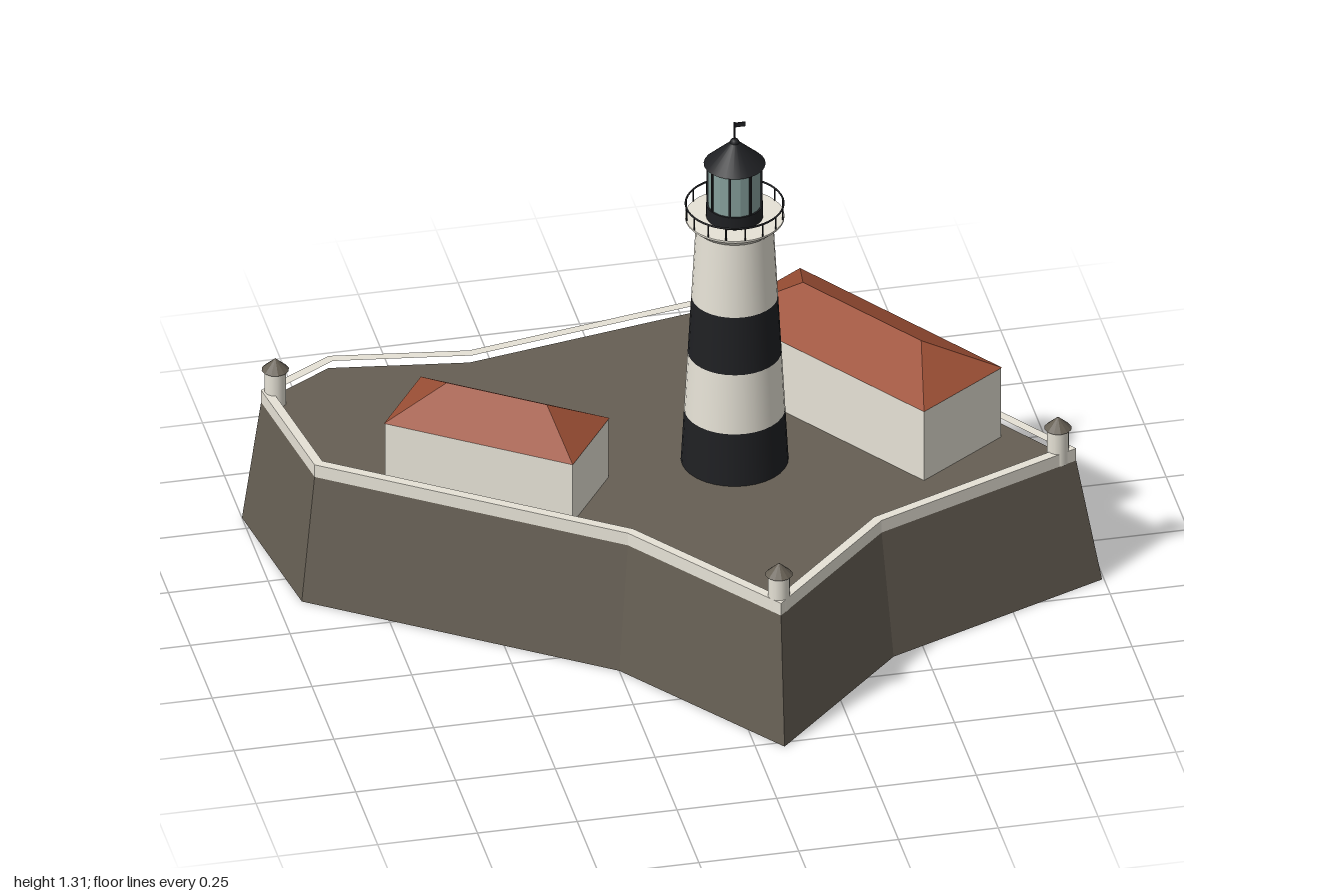
import * as THREE from 'three';

const mat = (color, opts = {}) => new THREE.MeshStandardMaterial({ color, ...opts });
const STONE = mat(0x665f54, { flatShading: true, side: THREE.DoubleSide });
const WHITE = mat(0xe6e2d6);
const PLASTER = mat(0xe6e2d6, { flatShading: true });
const BLACK = mat(0x1f2023);
const ROOF = mat(0x9c4f35, { flatShading: true });
const GLASS = mat(0x86a09c, { flatShading: true });

const DECK = 0.34;

// Footprint of the rock base as [x, z]
const FOOT = [
  [-1, -0.55], [-0.77, -0.69], [-0.42, -0.64], [0.33, -0.78], [0.995, 0.18],
  [0.42, 0.42], [0.07, 0.77], [-0.25, 0.34], [-0.94, -0.14],
];

function add(parent, name, geometry, material, x = 0, y = 0, z = 0) {
  const mesh = new THREE.Mesh(geometry, material);
  mesh.name = name;
  mesh.position.set(x, y, z);
  parent.add(mesh);
  return mesh;
}

// Moves every edge of an outline inward by d, with mitred corners
function inset(pts, d) {
  const n = pts.length;
  const normal = (i) => {
    const a = pts[(i + n) % n], b = pts[(i + 1) % n];
    return new THREE.Vector2(a[1] - b[1], b[0] - a[0]).normalize();
  };
  return pts.map(([x, z], i) => {
    const p = normal(i - 1), q = normal(i);
    const k = d / (1 + p.dot(q));
    return [x + (p.x + q.x) * k, z + (p.y + q.y) * k];
  });
}

const toVectors = (pts) => pts.map(([x, z]) => new THREE.Vector2(x, -z));

function fromTriangles(positions) {
  const g = new THREE.BufferGeometry();
  g.setAttribute('position', new THREE.Float32BufferAttribute(positions, 3));
  g.computeVertexNormals();
  return g;
}

// Sloping walls between two outlines, open below
function slopedWalls(low, high, y) {
  const out = [];
  low.forEach((p, i) => {
    const j = (i + 1) % low.length;
    const a0 = [p[0], 0, p[1]], b0 = [low[j][0], 0, low[j][1]];
    const a1 = [high[i][0], y, high[i][1]], b1 = [high[j][0], y, high[j][1]];
    out.push(...a0, ...a1, ...b1, ...a0, ...b1, ...b0);
  });
  return fromTriangles(out);
}

function hipRoof(length, width, height) {
  const l = length / 2, w = width / 2, r = (length - width) / 2;
  const A = [-l, 0, -w], B = [l, 0, -w], C = [l, 0, w], D = [-l, 0, w];
  const E = [-r, height, 0], F = [r, height, 0];
  return fromTriangles([D, C, F, D, F, E, B, A, E, B, E, F, C, B, F, A, D, E].flat());
}

function house(parent, name, { x, z, ux, uz, length, width, eave, ridge }) {
  const g = new THREE.Group();
  g.name = name;
  g.position.set(x, DECK, z);
  g.rotation.y = Math.atan2(-uz, ux);
  const h = eave - DECK;
  add(g, 'houseWalls', new THREE.BoxGeometry(length - 0.004, h, width - 0.004), PLASTER, 0, h / 2);
  add(g, 'hipRoof', hipRoof(length, width, ridge - eave), ROOF, 0, h);
  parent.add(g);
}

function lighthouse() {
  const g = new THREE.Group();
  g.name = 'lighthouse';
  g.position.set(0.12, 0, -0.028);
  const drum = (name, y0, y1, r0, r1, material, sides = 32) =>
    add(g, name, new THREE.CylinderGeometry(r1, r0, y1 - y0, sides), material, 0, (y0 + y1) / 2);

  // Tapered tower in alternating bands
  const radius = (y) => 0.132 - 0.037 * (y - DECK) / (1.02 - DECK);
  const levels = [DECK, 0.485, 0.65, 0.81, 1.02];
  for (let i = 0; i < 4; i++) {
    drum('towerBand', levels[i], levels[i + 1], radius(levels[i]), radius(levels[i + 1]), i % 2 ? WHITE : BLACK);
  }

  // Gallery with railing
  drum('galleryCorbel', 1.015, 1.035, 0.1, 0.122, WHITE);
  drum('galleryFloor', 1.035, 1.04, 0.122, 0.122, WHITE);
  const rail = new THREE.TorusGeometry(0.12, 0.0025, 6, 48).rotateX(Math.PI / 2);
  add(g, 'galleryRail', rail, BLACK, 0, 1.075);
  const post = new THREE.CylinderGeometry(0.002, 0.002, 0.037, 6);
  for (let i = 0; i < 16; i++) {
    const a = i * Math.PI / 8;
    add(g, 'railPost', post, BLACK, 0.12 * Math.cos(a), 1.057, 0.12 * Math.sin(a));
  }

  // Lantern room
  drum('lanternBase', 1.04, 1.075, 0.07, 0.07, BLACK);
  drum('lanternGlass', 1.075, 1.19, 0.066, 0.066, GLASS, 16);
  const bar = new THREE.BoxGeometry(0.006, 0.115, 0.006);
  for (let i = 0; i < 8; i++) {
    const a = i * Math.PI / 4 + Math.PI / 8;
    add(g, 'lanternBar', bar, BLACK, 0.066 * Math.cos(a), 1.1325, 0.066 * Math.sin(a)).rotation.y = -a;
  }
  drum('lanternRoof', 1.19, 1.25, 0.076, 0.012, BLACK, 24);
  add(g, 'roofBall', new THREE.SphereGeometry(0.012, 12, 8), BLACK, 0, 1.25);
  drum('flagPole', 1.25, 1.308, 0.0025, 0.0025, BLACK, 6);
  add(g, 'weatherVane', new THREE.BoxGeometry(0.028, 0.012, 0.003), BLACK, 0.013, 1.3);
  return g;
}

export function createModel() {
  const model = new THREE.Group();
  model.name = 'lighthouseFort';

  // Rock base and deck
  const rim = inset(FOOT, 0.04);
  add(model, 'baseWalls', slopedWalls(FOOT, rim, DECK), STONE);
  const deck = new THREE.ShapeGeometry(new THREE.Shape(toVectors(rim))).rotateX(-Math.PI / 2);
  add(model, 'deck', deck, STONE, 0, DECK);

  // Parapet around the deck
  const ring = new THREE.Shape(toVectors(rim));
  ring.holes.push(new THREE.Path(toVectors(inset(rim, 0.024))));
  const parapet = new THREE.ExtrudeGeometry(ring, { depth: 0.035, bevelEnabled: false }).rotateX(-Math.PI / 2);
  add(model, 'parapet', parapet, PLASTER, 0, DECK);

  // Corner turrets
  const body = new THREE.CylinderGeometry(0.027, 0.027, 0.1, 12);
  const cap = new THREE.ConeGeometry(0.034, 0.032, 12);
  for (const [x, z] of [[-0.923, -0.52], [0.305, -0.705], [0.89, 0.155], [0.078, 0.67]]) {
    add(model, 'turretBody', body, WHITE, x, DECK + 0.05, z);
    add(model, 'turretCap', cap, STONE, x, 0.452, z);
  }

  house(model, 'largeHouse', {
    x: 0.473, z: -0.182, ux: 0.568, uz: 0.823, length: 0.676, width: 0.28, eave: 0.54, ridge: 0.622,
  });
  house(model, 'smallHouse', {
    x: -0.47, z: -0.055, ux: 0.82, uz: 0.572, length: 0.5, width: 0.235, eave: 0.51, ridge: 0.588,
  });

  model.add(lighthouse());
  return model;
}
